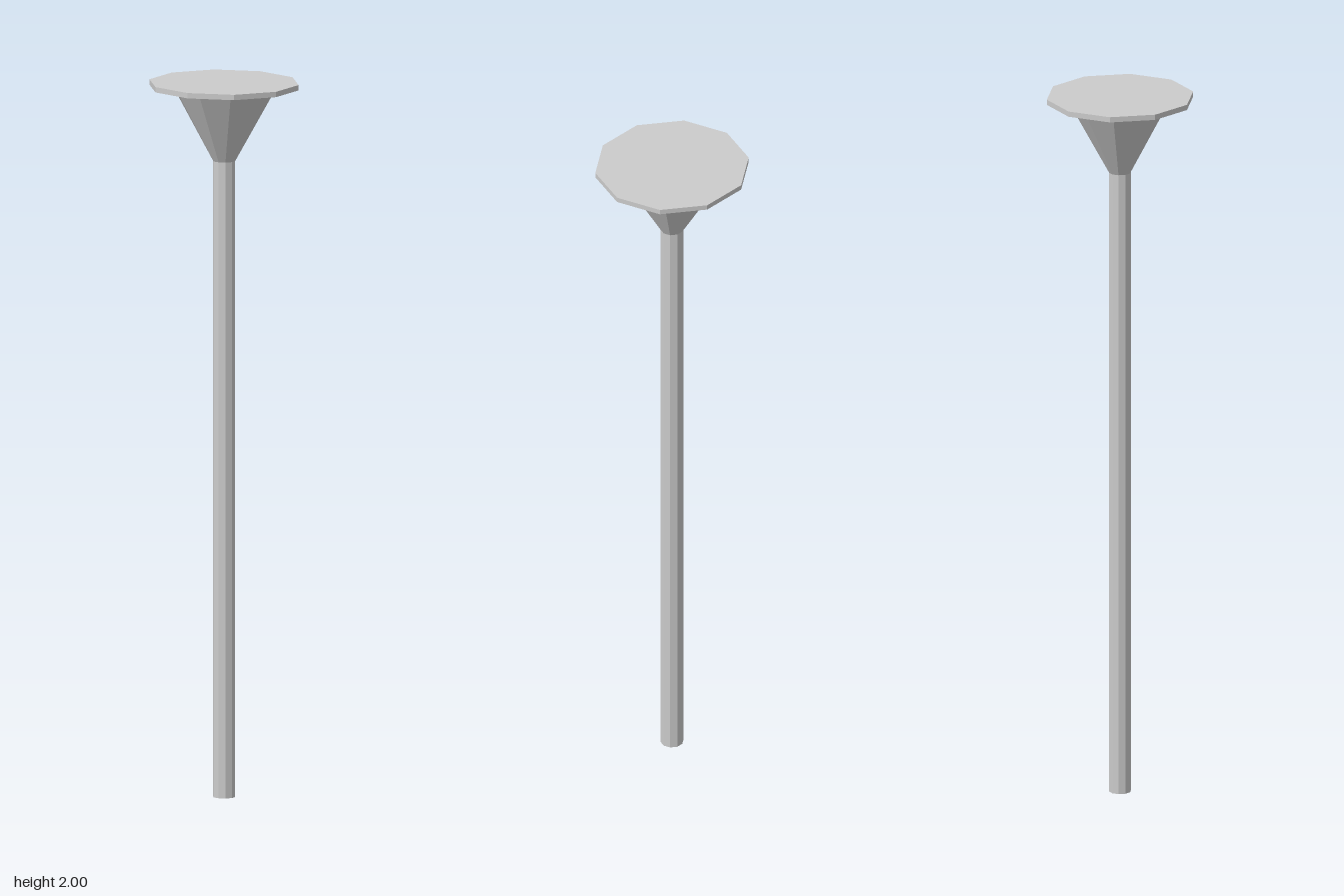
import * as THREE from 'three';

const SIDES = 10;
const WIDTH_RATIO = 0.956; // cross-sections are slightly narrower in x than in z

export function createModel() {
  const model = new THREE.Group();
  const material = new THREE.MeshStandardMaterial({ color: 0xcccccc, flatShading: true });

  // ten-sided section between two heights
  const addSection = (name, rTop, rBottom, y0, y1, open = false) => {
    const geometry = new THREE.CylinderGeometry(rTop, rBottom, y1 - y0, SIDES, 1, open);
    geometry.scale(WIDTH_RATIO, 1, 1);
    geometry.translate(0, (y0 + y1) / 2, 0);
    const mesh = new THREE.Mesh(geometry, material);
    mesh.name = name;
    model.add(mesh);
  };

  addSection('pole', 0.032, 0.032, 0, 1.78);
  addSection('flaredNeck', 0.148, 0.032, 1.78, 1.985, true);
  addSection('topPlate', 0.2145, 0.2145, 1.985, 2);

  return model;
}
